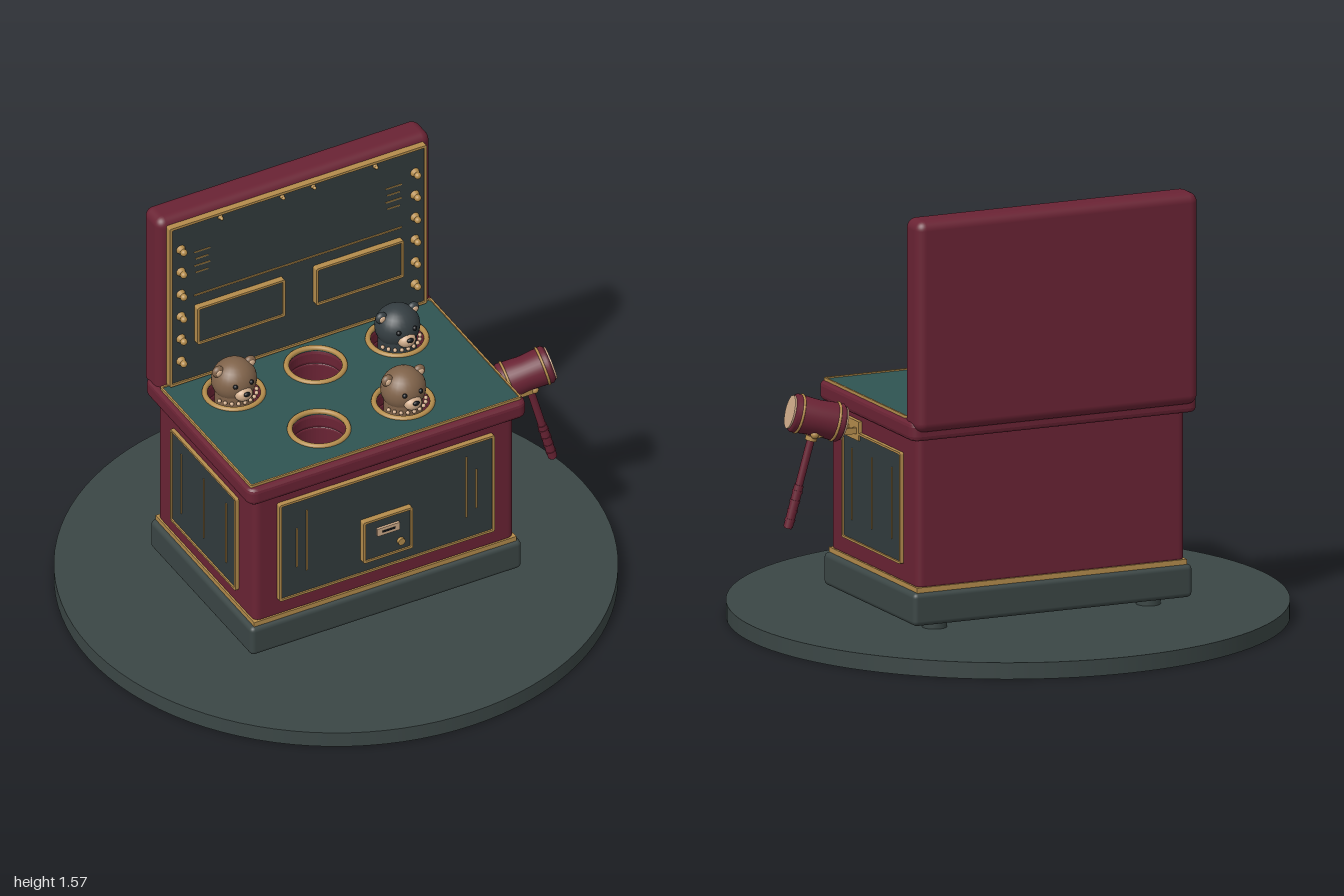
import * as THREE from 'three';
import { RoundedBoxGeometry } from 'three/addons/geometries/RoundedBoxGeometry.js';

const mat = (name, color, side = THREE.FrontSide) => {
  const m = new THREE.MeshStandardMaterial({ color, side });
  m.name = name;
  return m;
};

export function createModel() {
  const red = mat('burgundy', 0x6a2334), slate = mat('slate', 0x3b4645), panelDark = mat('dark panel', 0x313b3d);
  const teal = mat('teal deck', 0x2f5452), gold = mat('gold', 0xb48c4c), brown = mat('brown fur', 0x80634a);
  const charcoal = mat('charcoal fur', 0x353e42), tan = mat('tan', 0xcfab8a), black = mat('black', 0x15171a);

  const root = new THREE.Group();
  root.name = 'bearWhackingCabinet';

  const add = (parent, name, geo, m, x = 0, y = 0, z = 0) => {
    const mesh = new THREE.Mesh(geo, m);
    mesh.name = name;
    mesh.position.set(x, y, z);
    parent.add(mesh);
    return mesh;
  };
  const group = (parent, name, x = 0, y = 0, z = 0) => {
    const g = new THREE.Group();
    g.name = name;
    g.position.set(x, y, z);
    parent.add(g);
    return g;
  };
  const box = (w, h, d) => new THREE.BoxGeometry(w, h, d);
  const ball = (r) => new THREE.SphereGeometry(r, 24, 16);
  const cyl = (r0, r1, h, n = 32) => new THREE.CylinderGeometry(r0, r1, h, n);

  const rect = (w, h, r, Type = THREE.Shape) => {
    const s = new Type(), x = w / 2, y = h / 2;
    s.moveTo(-x + r, -y);
    s.lineTo(x - r, -y); s.quadraticCurveTo(x, -y, x, -y + r);
    s.lineTo(x, y - r); s.quadraticCurveTo(x, y, x - r, y);
    s.lineTo(-x + r, y); s.quadraticCurveTo(-x, y, -x, y - r);
    s.lineTo(-x, -y + r); s.quadraticCurveTo(-x, -y, -x + r, -y);
    return s;
  };

  // Bear holes: x, z, fur, raised or hidden
  const bears = [
    [-0.33, -0.15, brown, true], [0, -0.15, brown, false], [0.33, -0.15, charcoal, true],
    [-0.17, 0.185, brown, false], [0.17, 0.185, brown, true]
  ];

  // Horizontal slab pierced by the five holes
  const slab = (w, d, y0, y1, bevel, zc = 0) => {
    const s = rect(w - 2 * bevel, d - 2 * bevel, 0.02);
    for (const [x, z] of bears) {
      const h = new THREE.Path();
      h.absarc(x, zc - z, 0.098 + bevel, 0, Math.PI * 2, true);
      s.holes.push(h);
    }
    const g = new THREE.ExtrudeGeometry(s, {
      depth: y1 - y0 - 2 * bevel, bevelEnabled: bevel > 0, bevelSize: bevel,
      bevelThickness: bevel, bevelSegments: 3, curveSegments: 32
    });
    g.translate(0, 0, bevel);
    g.rotateX(-Math.PI / 2);
    g.translate(0, y0, zc);
    return g;
  };

  // Flat border facing +z
  const border = (w, h, t, depth, r = 0.008) => {
    const s = rect(w, h, r);
    s.holes.push(rect(w - 2 * t, h - 2 * t, r * 0.6, THREE.Path));
    return new THREE.ExtrudeGeometry(s, { depth, bevelEnabled: false });
  };
  const framedPanel = (parent, name, w, h, depth, t, m = panelDark) => {
    const g = group(parent, name);
    add(g, name + 'Face', box(w - t, h - t, depth), m, 0, 0, depth / 2);
    add(g, name + 'Frame', border(w, h, t, depth + 0.006), gold);
    return g;
  };

  // Floor disc, feet, plinth
  add(root, 'floorDisc', cyl(1, 1, 0.06, 96), slate, 0, 0.03, 0);
  for (const x of [-0.42, 0.42]) for (const z of [-0.275, 0.275])
    add(root, 'foot', cyl(0.044, 0.044, 0.04), slate, x, 0.075, z);
  add(root, 'plinth', new RoundedBoxGeometry(1.095, 0.12, 0.75, 3, 0.018), slate, 0, 0.15, 0);
  add(root, 'plinthTrim', box(1.06, 0.022, 0.725), gold, 0, 0.217, 0);

  // Cabinet body, rim and deck
  add(root, 'cabinetBody', slab(1.05, 0.715, 0.225, 0.775, 0.008), red);
  add(root, 'cabinetRim', slab(1.125, 0.785, 0.765, 0.835, 0.018), red);
  add(root, 'playDeck', slab(1.085, 0.66, 0.83, 0.84, 0, 0.035), teal);
  const deckTrim = add(root, 'deckTrim', border(1.095, 0.67, 0.007, 0.012), gold, 0, 0.833, 0.035);
  deckTrim.rotation.x = -Math.PI / 2;

  // Hole rings and bears
  for (const [x, z, fur, up] of bears) {
    const ring = add(root, 'holeRing', new THREE.TorusGeometry(0.104, 0.01, 10, 48), gold, x, 0.841, z);
    ring.rotation.x = Math.PI / 2;
    const b = group(root, 'bear', x, up ? 0.902 : 0.645, z);
    add(b, 'bearBody', cyl(0.07, 0.07, 0.28), fur, 0, -0.15, 0);
    add(b, 'bearHead', ball(0.083), fur).scale.set(1, 0.97, 0.95);
    add(b, 'muzzle', ball(0.034), tan, 0, -0.022, 0.07).scale.set(1, 0.8, 0.8);
    add(b, 'nose', ball(0.011), black, 0, -0.008, 0.097).scale.set(1.2, 0.8, 0.7);
    for (const s of [-1, 1]) {
      add(b, 'ear', ball(0.023), fur, s * 0.064, 0.052, 0).scale.z = 0.7;
      add(b, 'innerEar', ball(0.013), tan, s * 0.065, 0.052, 0.012).scale.z = 0.5;
      add(b, 'eye', ball(0.009), black, s * 0.032, 0.018, 0.07);
    }
    for (let i = 0; i < 9; i++) {
      const a = Math.PI * (0.12 + 0.095 * i);
      add(b, 'collarBead', new THREE.SphereGeometry(0.008, 10, 8), tan,
        Math.cos(a) * 0.081, -0.054, Math.sin(a) * 0.081);
    }
  }

  // Front panel with grooves
  const front = framedPanel(root, 'frontPanel', 0.87, 0.425, 0.016, 0.009);
  front.position.set(0, 0.507, 0.355);
  for (const s of [-1, 1]) {
    add(front, 'longStripe', box(0.006, 0.265, 0.006), gold, s * 0.323, 0.02, 0.017);
    add(front, 'shortStripe', box(0.006, 0.17, 0.006), gold, s * 0.363, 0, 0.017);
  }

  // Coin door
  const door = framedPanel(root, 'coinDoor', 0.2, 0.18, 0.018, 0.009);
  door.position.set(-0.005, 0.445, 0.37);
  add(door, 'coinPlate', box(0.09, 0.032, 0.012), tan, 0, 0.03, 0.022);
  add(door, 'coinSlot', box(0.05, 0.008, 0.004), black, 0, 0.03, 0.028);
  const lock = add(door, 'doorLock', cyl(0.014, 0.014, 0.016, 20), gold, 0.052, -0.043, 0.022);
  lock.rotation.x = Math.PI / 2;

  // Side panels
  for (const s of [-1, 1]) {
    const p = framedPanel(root, 'sidePanel', 0.48, 0.405, 0.01, 0.008);
    p.position.set(s * 0.523, 0.493, 0);
    p.rotation.y = s * Math.PI / 2;
    for (const x of [-0.165, 0, 0.165]) add(p, 'sideStripe', box(0.006, 0.26, 0.006), gold, x, 0.005, 0.011);
  }

  // Backboard
  add(root, 'backboard', new RoundedBoxGeometry(1.105, 0.77, 0.12, 4, 0.035), red, 0, 1.185, -0.36);
  const board = framedPanel(root, 'backboardPanel', 1.04, 0.7, 0.02, 0.01);
  board.position.set(0, 1.195, -0.302);
  const face = 0.021;
  add(board, 'dividerLine', box(0.84, 0.006, 0.006), gold, 0, 0.02, face);
  for (const s of [-1, 1]) {
    const screen = framedPanel(board, 'scoreScreen', 0.355, 0.162, 0.02, 0.009);
    screen.position.set(s * 0.24, -0.105, 0.018);
    [0.21, 0.18, 0.15, 0.12].forEach((y, i) =>
      add(board, 'dash', box(i % 2 ? 0.05 : 0.065, 0.004, 0.005), gold, s * 0.387, y, face));
    // Light bulbs
    const bulbs = [0, 1, 2, 3, 4, 5].map((i) => [s * 0.473, -0.25 + i * 0.0985, 1]);
    bulbs.push([s * 0.313, 0.328, 0.5], [s * 0.063, 0.328, 0.5]);
    for (const [x, y, k] of bulbs) {
      const g = group(board, 'bulb', x, y, 0.02);
      g.scale.setScalar(k);
      const socket = add(g, 'bulbSocket', cyl(0.012, 0.018, 0.018, 16), gold, 0, 0, 0.008);
      socket.rotation.x = Math.PI / 2;
      add(g, 'bulbGlass', ball(0.013), gold, 0, 0, 0.023);
    }
  }

  // Mallet, its local y running from the cabinet outwards along the head
  const mallet = group(root, 'mallet', 0.68, 0.757, 0.15);
  const axis = new THREE.Vector3(0.165, 0.045, 0.036).normalize();
  const grip = new THREE.Vector3(0.27, -0.96, 0.05);
  grip.addScaledVector(axis, -grip.dot(axis)).normalize();
  const side = new THREE.Vector3().crossVectors(grip, axis);
  mallet.quaternion.setFromRotationMatrix(new THREE.Matrix4().makeBasis(grip, axis, side));
  const profile = [[0, -0.095], [0.062, -0.095], [0.07, -0.085], [0.064, 0], [0.07, 0.085], [0.062, 0.095], [0, 0.095]];
  add(mallet, 'malletHead', new THREE.LatheGeometry(profile.map((p) => new THREE.Vector2(...p)), 36), red);
  for (const s of [-1, 1]) {
    add(mallet, 'malletPad', cyl(0.06, 0.06, 0.012, 36), tan, 0, s * 0.095, 0);
    const band = add(mallet, 'malletBand', new THREE.TorusGeometry(0.068, 0.005, 8, 40), gold, 0, s * 0.068, 0);
    band.rotation.x = Math.PI / 2;
  }
  const rod = (name, r, from, to, m) => {
    const h = add(mallet, name, cyl(r, r, to - from, 20), m, (from + to) / 2, 0, 0);
    h.rotation.z = Math.PI / 2;
  };
  rod('malletHandle', 0.014, 0.05, 0.41, red);
  rod('handleCollar', 0.021, 0.068, 0.085, gold);
  rod('handleGrip', 0.017, 0.25, 0.405, red);
  for (let i = 0; i < 4; i++) rod('gripRing', 0.019, 0.27 + i * 0.035, 0.278 + i * 0.035, red);

  // Mallet holder
  const holder = group(root, 'malletHolder', 0.53, 0.702, 0.155);
  add(holder, 'holderPlate', box(0.014, 0.07, 0.11), gold, 0.002, 0, 0);
  for (const s of [-1, 1]) {
    add(holder, 'holderProng', box(0.17, 0.022, 0.016), gold, 0.085, 0, s * 0.032);
    add(holder, 'prongTip', ball(0.015), gold, 0.17, 0, s * 0.032);
  }
  return root;
}
